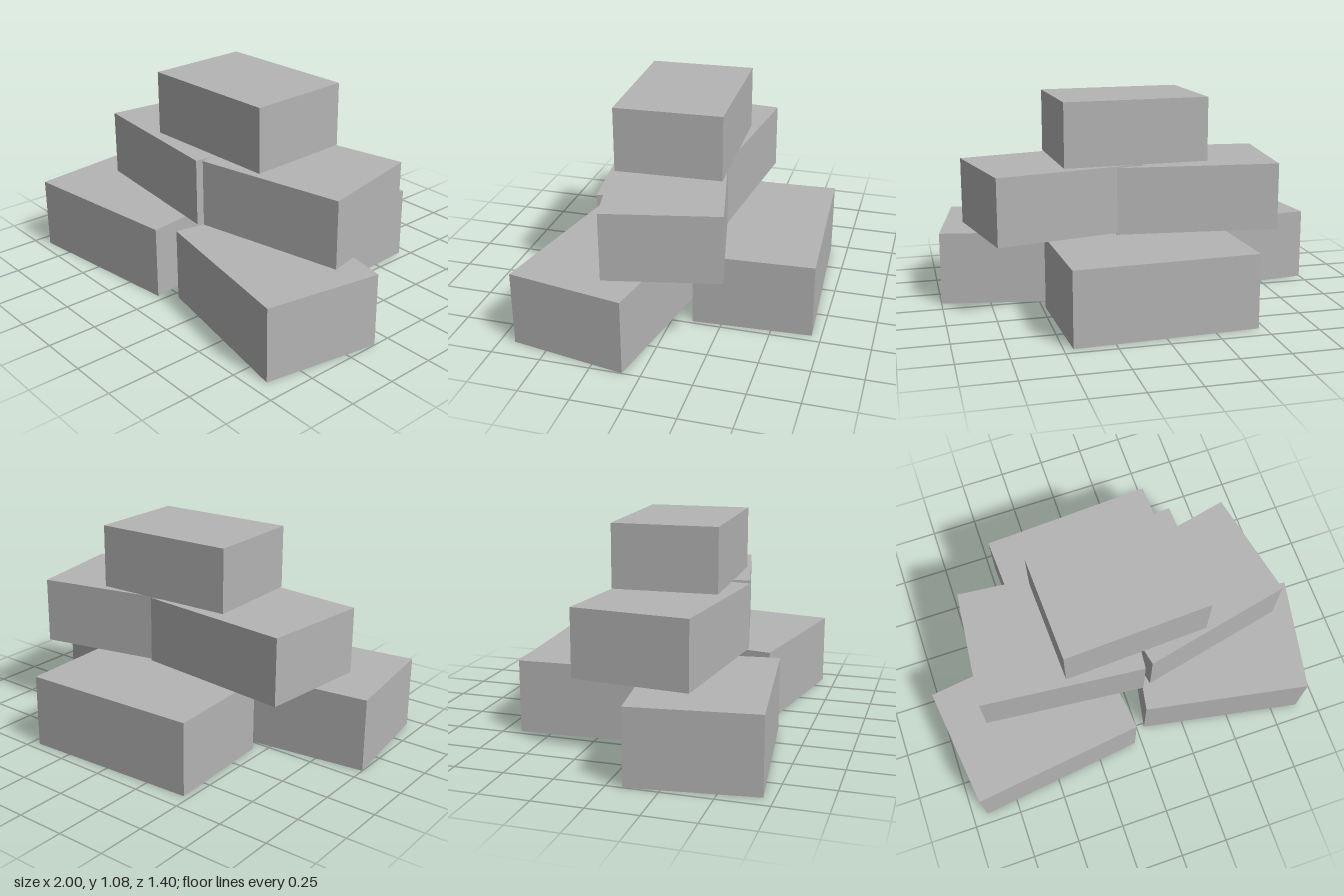
import * as THREE from 'three';

export function createModel() {
  const group = new THREE.Group();
  group.name = 'blockPile';
  const stone = new THREE.MeshStandardMaterial({ color: 0xb4b4b4 });
  stone.name = 'stoneGrey';

  // A solid block standing on height y, turned about the vertical axis
  function addBlock(name, [width, height, depth], [x, y, z], turn) {
    const block = new THREE.Mesh(new THREE.BoxGeometry(width, height, depth), stone);
    block.name = name;
    block.position.set(x, y + height / 2, z);
    block.rotation.y = turn;
    group.add(block);
  }

  // Bottom layer: three blocks
  addBlock('bottomRightBlock', [0.892, 0.377, 0.625], [-0.518, 0, 0.335], 0.124);
  addBlock('bottomLeftBlock', [0.864, 0.377, 0.595], [0.52, 0, 0.305], -0.181);
  addBlock('bottomBackBlock', [0.926, 0.377, 0.6], [0.007, 0, -0.382], 0.049);

  // Middle layer: two overlapping blocks
  addBlock('middleRightBlock', [0.839, 0.345, 0.598], [-0.322, 0.387, 0.065], -0.101);
  addBlock('middleLeftBlock', [0.778, 0.343, 0.568], [0.425, 0.397, 0.035], 0.213);

  // Top block
  addBlock('topBlock', [0.746, 0.327, 0.538], [0.037, 0.75, 0.052], 0.038);

  return group;
}
